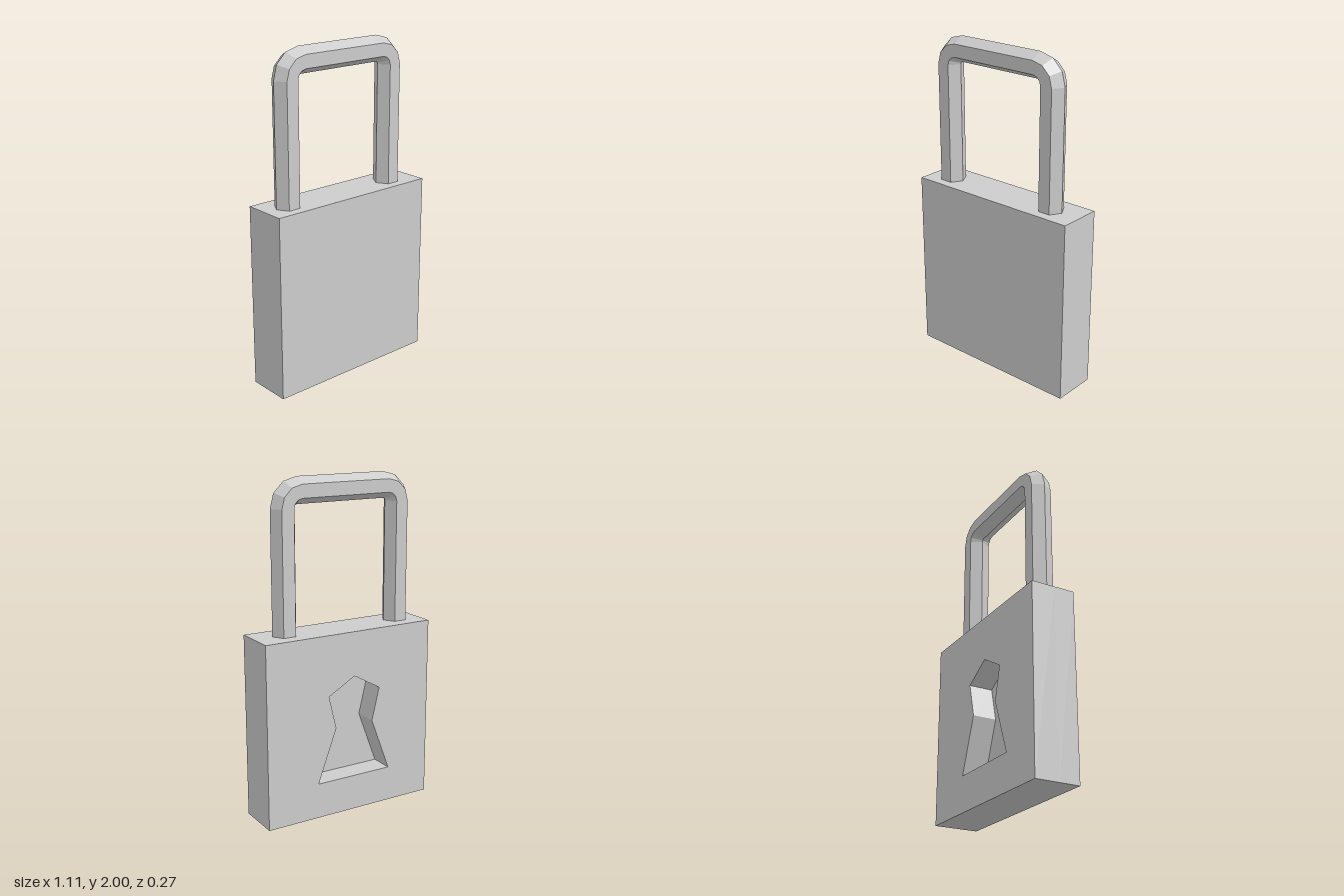
import * as THREE from 'three';

const steel = new THREE.MeshStandardMaterial({ color: 0xcccccc });
steel.name = 'grey steel';

// Half size of the body, and the depth plane of the keyhole floor
const W = 0.553, H = 1.11, D = 0.135, FLOOR = 0.01;

function add(group, name, geometry) {
  const mesh = new THREE.Mesh(geometry, steel);
  mesh.name = name;
  group.add(mesh);
  return mesh;
}

// Back half of the body, pierced by the keyhole
function keyholeSlab() {
  const shape = new THREE.Shape([[-W, 0], [W, 0], [W, H], [-W, H]].map(p => new THREE.Vector2(...p)));
  const cx = -0.025;
  const side = [[0.247, 0.215], [0.125, 0.542], [0.174, 0.743]];
  const outline = [
    ...side.map(([x, y]) => new THREE.Vector2(cx + x, y)),
    new THREE.Vector2(cx, 0.842),
    ...side.map(([x, y]) => new THREE.Vector2(cx - x, y)).reverse(),
  ];
  shape.holes.push(new THREE.Path(outline));
  const geo = new THREE.ExtrudeGeometry(shape, { depth: D + FLOOR, bevelEnabled: false });
  return geo.translate(0, 0, -D);
}

// Hexagonal bar swept up one leg, round two bevelled corners and down the other
function shackleGeometry() {
  const r = 0.077, bend = 0.093, cy = 1.83, z0 = 0.01, steps = 3, sides = 6;
  const stations = [];
  const station = (cx, y, angle) => stations.push({
    x: cx + bend * Math.cos(angle), y: y + bend * Math.sin(angle),
    nx: Math.cos(angle), ny: Math.sin(angle),
  });
  station(-0.306, H - 0.01, Math.PI);
  for (let i = 0; i <= steps; i++) station(-0.306, cy, Math.PI - (i / steps) * Math.PI / 2);
  for (let i = 0; i <= steps; i++) station(0.265, cy, (1 - i / steps) * Math.PI / 2);
  station(0.265, H - 0.01, 0);

  const corner = (i, j) => {
    const s = stations[i], a = (j / sides) * Math.PI * 2, c = r * Math.cos(a);
    return [s.x + s.nx * c, s.y + s.ny * c, z0 + r * Math.sin(a)];
  };
  const pos = [];
  for (let i = 0; i < stations.length - 1; i++) {
    for (let j = 0; j < sides; j++) {
      const a = corner(i, j), b = corner(i, j + 1), c = corner(i + 1, j + 1), d = corner(i + 1, j);
      pos.push(...a, ...b, ...c, ...a, ...c, ...d);
    }
  }
  const geo = new THREE.BufferGeometry();
  geo.setAttribute('position', new THREE.Float32BufferAttribute(pos, 3));
  geo.computeVertexNormals(); // unshared corners keep the facets flat
  return geo;
}

export function createModel() {
  const lock = new THREE.Group();
  lock.name = 'padlock';

  // Solid front half of the body; its rear face is the keyhole floor
  const front = add(lock, 'bodyFront', new THREE.BoxGeometry(W * 2, H, D - FLOOR));
  front.position.set(0, H / 2, (D + FLOOR) / 2);

  add(lock, 'bodyBackWithKeyhole', keyholeSlab());
  add(lock, 'shackle', shackleGeometry());
  return lock;
}
